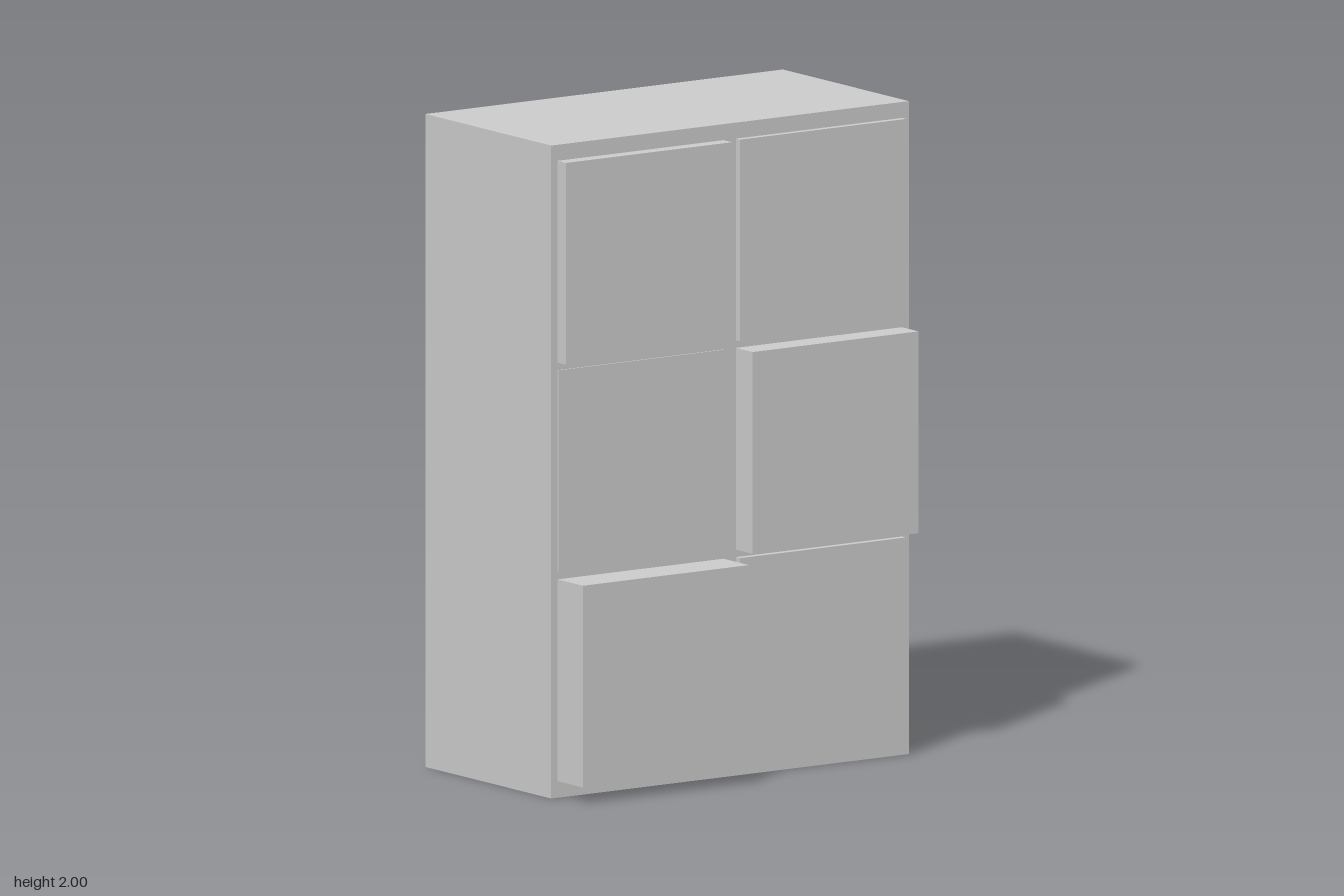
import * as THREE from 'three';

export function createModel() {
  const group = new THREE.Group();
  group.name = 'drawerCabinet';
  const material = new THREE.MeshStandardMaterial({ color: 0xcccccc });

  // Box given by its lower and upper corners
  function addBox(name, [x0, y0, z0], [x1, y1, z1]) {
    const mesh = new THREE.Mesh(new THREE.BoxGeometry(x1 - x0, y1 - y0, z1 - z0), material);
    mesh.position.set((x0 + x1) / 2, (y0 + y1) / 2, (z0 + z1) / 2);
    mesh.name = name;
    group.add(mesh);
  }

  // Cabinet body
  const front = 0.263;
  addBox('cabinetBody', [-0.659, 0, -0.396], [0.659, 2, front]);

  // Two columns of drawers, each pulled out by its own amount
  const rows = ['bottom', 'middle', 'top'];
  const columns = [
    { side: 'Right', x: -0.636, reach: [0.396, 0.268, 0.307] },
    { side: 'Left', x: 0.022, reach: [0.284, 0.35, 0.284] },
  ];
  const width = 0.612, height = 0.618, firstY = 0.051, pitch = 0.641;
  for (const { side, x, reach } of columns) {
    rows.forEach((row, i) => {
      const y = firstY + i * pitch;
      addBox(`${row}${side}Drawer`, [x, y, front - 0.01], [x + width, y + height, reach[i]]);
    });
  }

  return group;
}
